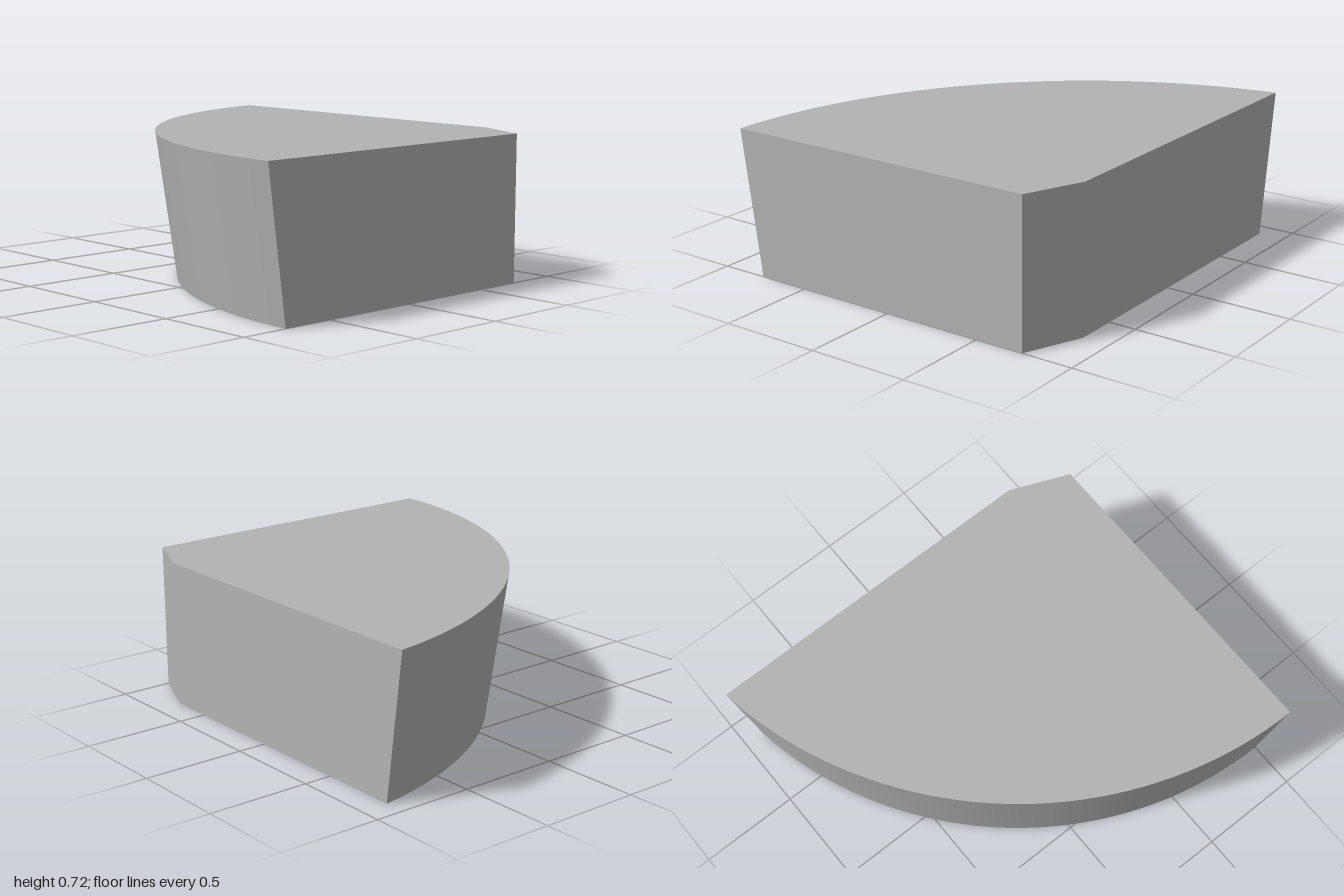
import * as THREE from 'three';
import { toCreasedNormals } from 'three/addons/utils/BufferGeometryUtils.js';

const HEIGHT = 0.717, SIDE_X = 0.865, AXIS_X = 1.156, FRONT_Z = 1;
const ARC_STEPS = 40;

// Outline at one height: an arc about the vertical axis, then the clipped corner
function outline(radius, y) {
  const points = [];
  const end = Math.acos((SIDE_X - AXIS_X) / radius);
  for (let i = 0; i <= ARC_STEPS; i++) {
    const a = THREE.MathUtils.lerp(Math.PI, end, i / ARC_STEPS);
    points.push([AXIS_X + radius * Math.cos(a), y, FRONT_Z - radius * Math.sin(a)]);
  }
  points.push([SIDE_X, y, 0.71], [0.745, y, FRONT_Z]);
  return points;
}

// Solid between two matching outlines, closed by flat caps
function loft(bottom, top) {
  const n = bottom.length, positions = [];
  const tri = (...corners) => corners.forEach((c) => positions.push(...c));
  for (let i = 0; i < n; i++) {
    const j = (i + 1) % n;
    tri(bottom[i], top[i], top[j]);
    tri(bottom[i], top[j], bottom[j]);
    if (i < n - 2) {
      tri(top[n - 1], top[j], top[i]);
      tri(bottom[n - 1], bottom[i], bottom[j]);
    }
  }
  const geometry = new THREE.BufferGeometry();
  geometry.setAttribute('position', new THREE.Float32BufferAttribute(positions, 3));
  geometry.computeVertexNormals();
  return toCreasedNormals(geometry, 0.2);
}

export function createModel() {
  const group = new THREE.Group();
  group.name = 'quarterWedge';
  const grey = new THREE.MeshStandardMaterial({ color: 0xb3b3b3 });
  grey.name = 'grey';

  // Wedge body whose curved wall leans outward towards the top
  const body = new THREE.Mesh(loft(outline(1.919, 0), outline(2.021, HEIGHT)), grey);
  body.name = 'wedgeBody';
  group.add(body);
  return group;
}
